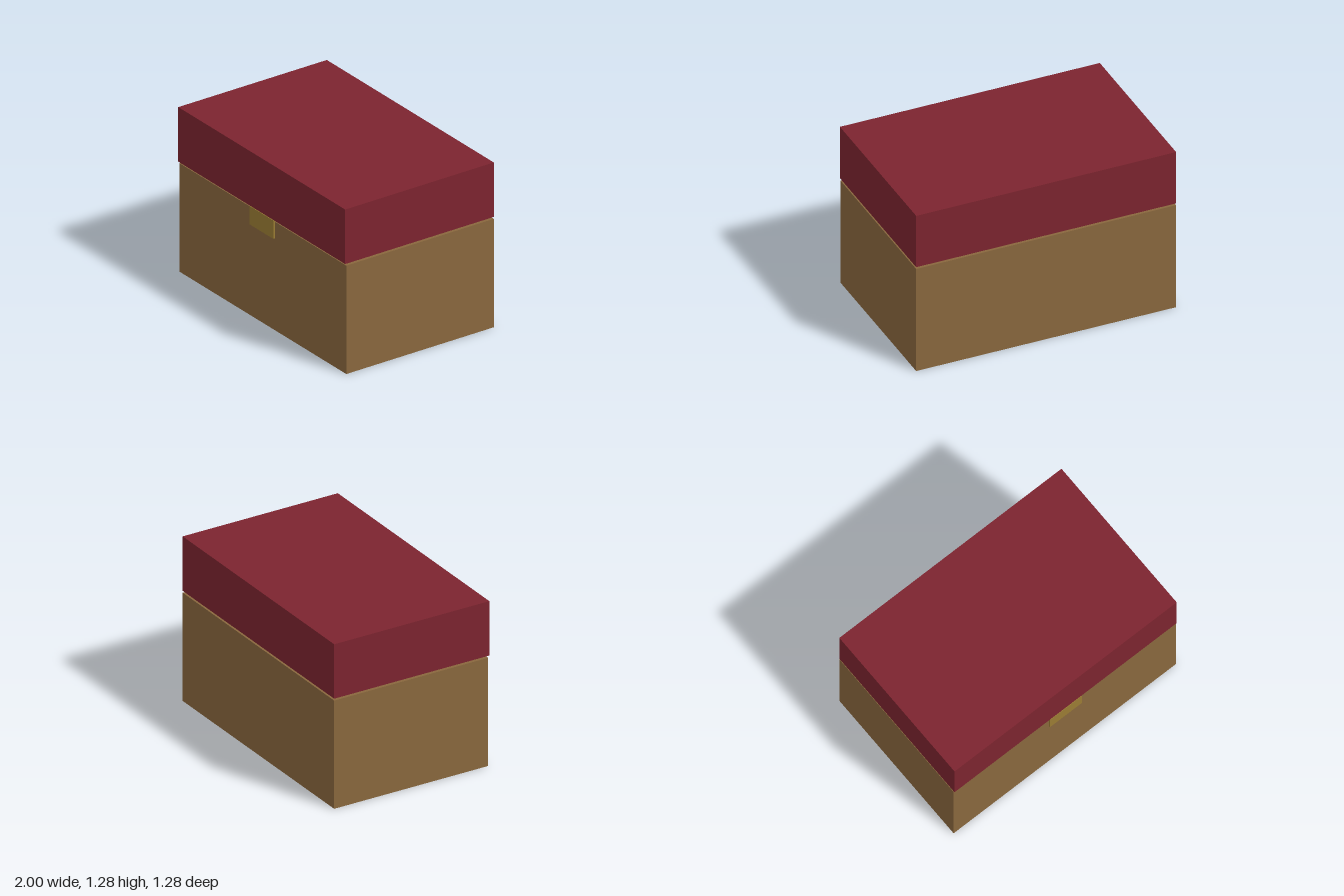
import * as THREE from 'three';

const material = (name, color, side = THREE.FrontSide) => {
  const m = new THREE.MeshStandardMaterial({ color, side });
  m.name = name;
  return m;
};

// Box given by its minimum and maximum corners
function box(name, min, max, mat) {
  const size = max.map((v, i) => v - min[i]);
  const mesh = new THREE.Mesh(new THREE.BoxGeometry(...size), mat);
  mesh.position.set(...max.map((v, i) => (v + min[i]) / 2));
  mesh.name = name;
  return mesh;
}

export function createModel() {
  const group = new THREE.Group();
  group.name = 'chest';

  const wood = material('brown wood', 0x89673d, THREE.DoubleSide);
  const red = material('dark red', 0x7c242f);
  const brass = material('brass', 0x9a7c34);

  // Thin-walled body, open underneath: drop the box's bottom face
  const body = box('body', [-1, 0, -0.64], [1, 0.845, 0.63], wood);
  const index = Array.from(body.geometry.index.array);
  index.splice(18, 6);
  body.geometry.setIndex(index);
  body.geometry.clearGroups();
  group.add(body);

  // Lid, floating just above the body
  group.add(box('lid', [-1, 0.86, -0.64], [1, 1.285, 0.64], red));

  // Latch block passing through the front wall
  group.add(box('latch', [-0.143, 0.715, 0.5], [0.143, 0.858, 0.643], brass));

  return group;
}
